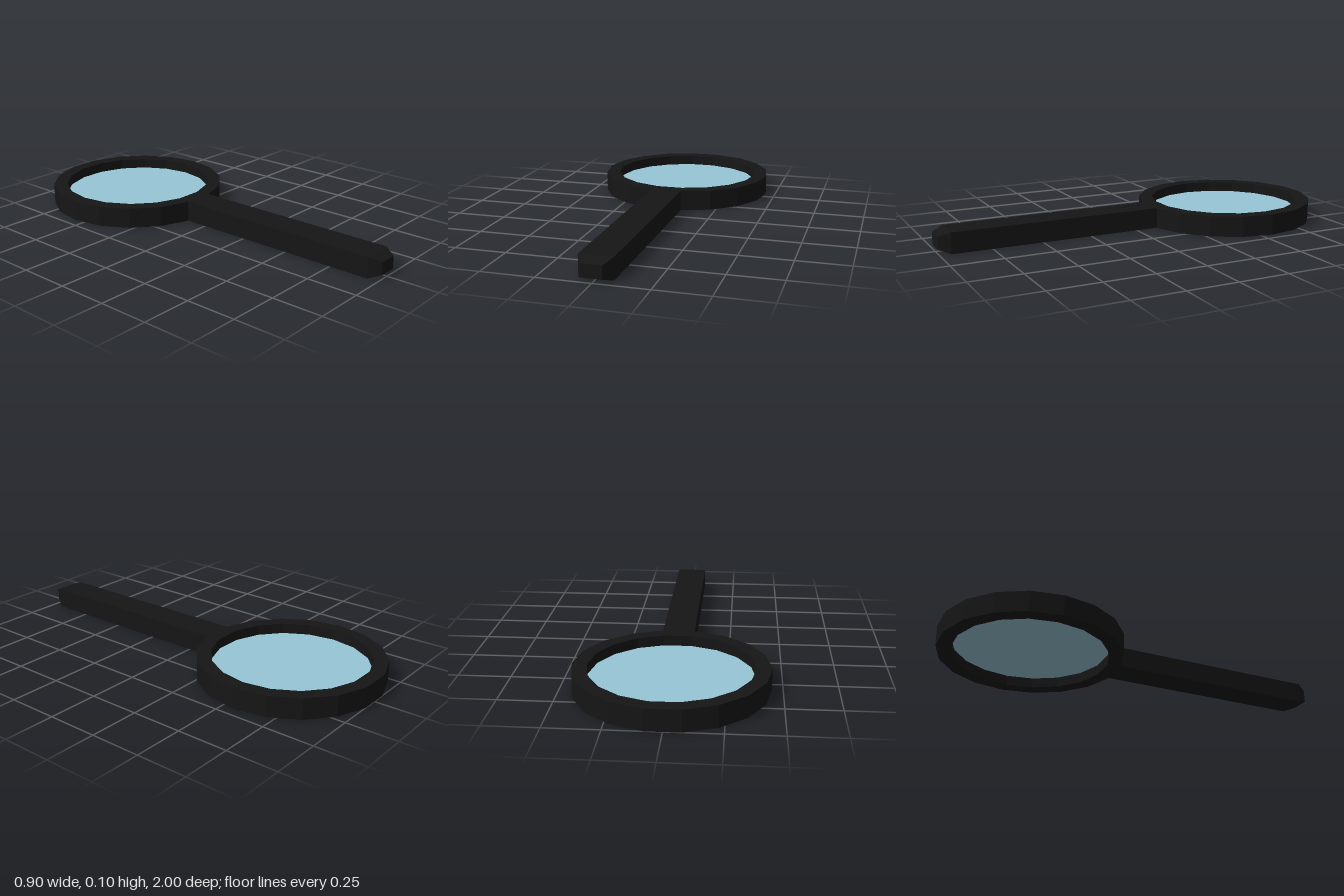
import * as THREE from 'three';

const SIDES = 18, RING_Z = -0.557, HEIGHT = 0.102;
const OUTER = 0.45, INNER = 0.38;

// Regular polygon outline with a vertex on the x axis
function polygon(radius) {
  return Array.from({ length: SIDES }, (_, i) => {
    const a = (i / SIDES) * Math.PI * 2;
    return new THREE.Vector2(Math.cos(a) * radius, Math.sin(a) * radius);
  });
}

export function createModel() {
  const group = new THREE.Group();
  group.name = 'magnifyingGlass';
  const black = new THREE.MeshStandardMaterial({ color: 0x161616, flatShading: true });
  const glass = new THREE.MeshStandardMaterial({ color: 0x97c6d6, side: THREE.DoubleSide });

  function add(name, geometry, material) {
    const mesh = new THREE.Mesh(geometry, material);
    mesh.name = name;
    group.add(mesh);
    return mesh;
  }

  // Faceted frame around the lens
  const outline = new THREE.Shape(polygon(OUTER));
  outline.holes.push(new THREE.Path(polygon(INNER).reverse()));
  const frame = new THREE.ExtrudeGeometry(outline, { depth: HEIGHT, bevelEnabled: false });
  frame.rotateX(-Math.PI / 2);
  add('frame', frame, black).position.z = RING_Z;

  // Thin lens set halfway up the frame
  const lens = new THREE.CircleGeometry(INNER, SIDES);
  lens.rotateX(-Math.PI / 2);
  add('lens', lens, glass).position.set(0, HEIGHT / 2, RING_Z);

  // Handle as wide as one frame facet, with a tapered tip
  const halfWidth = OUTER * Math.sin(Math.PI / SIDES);
  const start = RING_Z + OUTER * Math.cos(Math.PI / SIDES);
  const handle = new THREE.BoxGeometry(halfWidth * 2, HEIGHT, 2, 1, 1, 2);
  const pos = handle.attributes.position;
  for (let i = 0; i < pos.count; i++) {
    const z = pos.getZ(i);
    if (z > 0.5) pos.setXYZ(i, pos.getX(i) * 0.6, pos.getY(i) * 0.6, 1);
    else pos.setZ(i, z < -0.5 ? start : 0.945);
  }
  handle.computeVertexNormals();
  add('handle', handle, black).position.y = HEIGHT / 2;

  return group;
}
